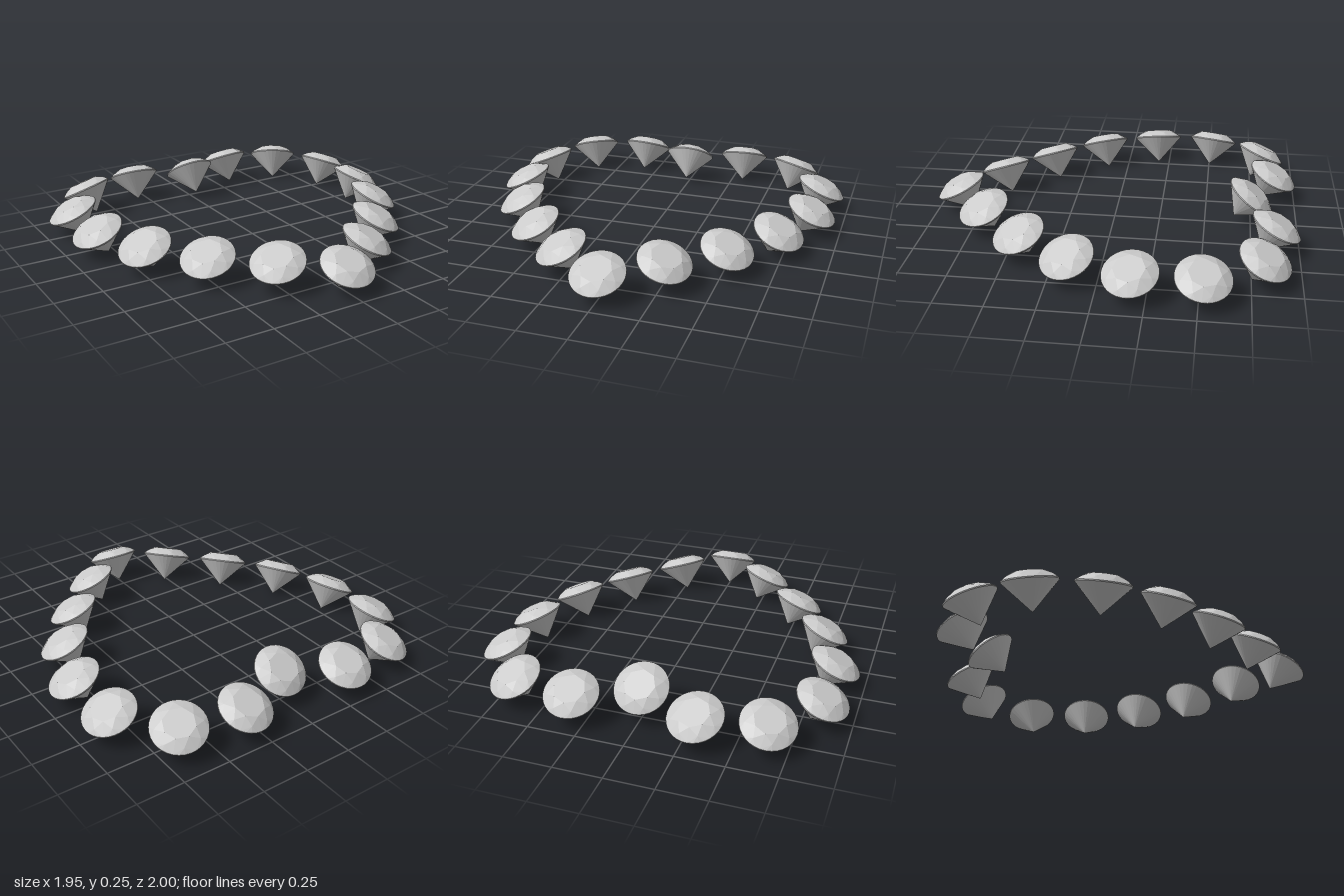
import * as THREE from 'three';
import { ConvexGeometry } from 'three/addons/geometries/ConvexGeometry.js';

// Points of one horizontal ring of a gem
function ring(count, radius, y, offset = 0) {
  return Array.from({ length: count }, (_, i) => {
    const a = (i / count + offset) * Math.PI * 2;
    return new THREE.Vector3(radius * Math.sin(a), y, radius * Math.cos(a));
  });
}

// Round brilliant cut: flat table, crown facets, thin girdle, pointed base
function gemGeometry() {
  return new ConvexGeometry([
    ...ring(8, 0.08, 0.043),
    ...ring(8, 0.117, 0.023, 1 / 16),
    ...ring(32, 0.14, 0.003),
    ...ring(32, 0.14, -0.003),
    new THREE.Vector3(0, -0.15, 0),
  ]);
}

// x, y, z of the girdle centre, outward direction (dx, dz), tilt in degrees
const STONES = [
  [0, 0.168, -0.745, 0, -1, 36],
  [0.315, 0.152, -0.873, -0.1, -1, 27],
  [0.65, 0.143, -0.81, 0.52, -0.85, 27],
  [0.847, 0.137, -0.52, 0.95, -0.29, 24],
  [0.845, 0.137, -0.175, 0.98, 0.18, 25],
  [0.725, 0.138, 0.148, 0.88, 0.47, 27],
  [0.52, 0.138, 0.43, 0.77, 0.64, 26],
  [0.27, 0.147, 0.673, 0.75, 0.66, 26],
  [0, 0.137, 0.87, 0, 1, 26],
];

export function createModel() {
  const model = new THREE.Group();
  model.name = 'heartOfGems';
  const geometry = gemGeometry();
  const material = new THREE.MeshStandardMaterial({ color: 0xcccccc, flatShading: true });
  const up = new THREE.Vector3(0, 1, 0);

  // Stones lean outward around the heart, mirrored left and right
  STONES.forEach(([x, y, z, dx, dz, tilt], i) => {
    const t = THREE.MathUtils.degToRad(tilt);
    for (const side of x === 0 ? [1] : [1, -1]) {
      const axis = new THREE.Vector3(side * dx, 0, dz).normalize().multiplyScalar(Math.sin(t));
      axis.y = Math.cos(t);
      const gem = new THREE.Mesh(geometry, material);
      gem.name = x === 0 ? `centreGem${i}` : `${side > 0 ? 'left' : 'right'}Gem${i}`;
      gem.position.set(side * x, y, z);
      gem.quaternion.setFromUnitVectors(up, axis);
      model.add(gem);
    }
  });
  return model;
}
